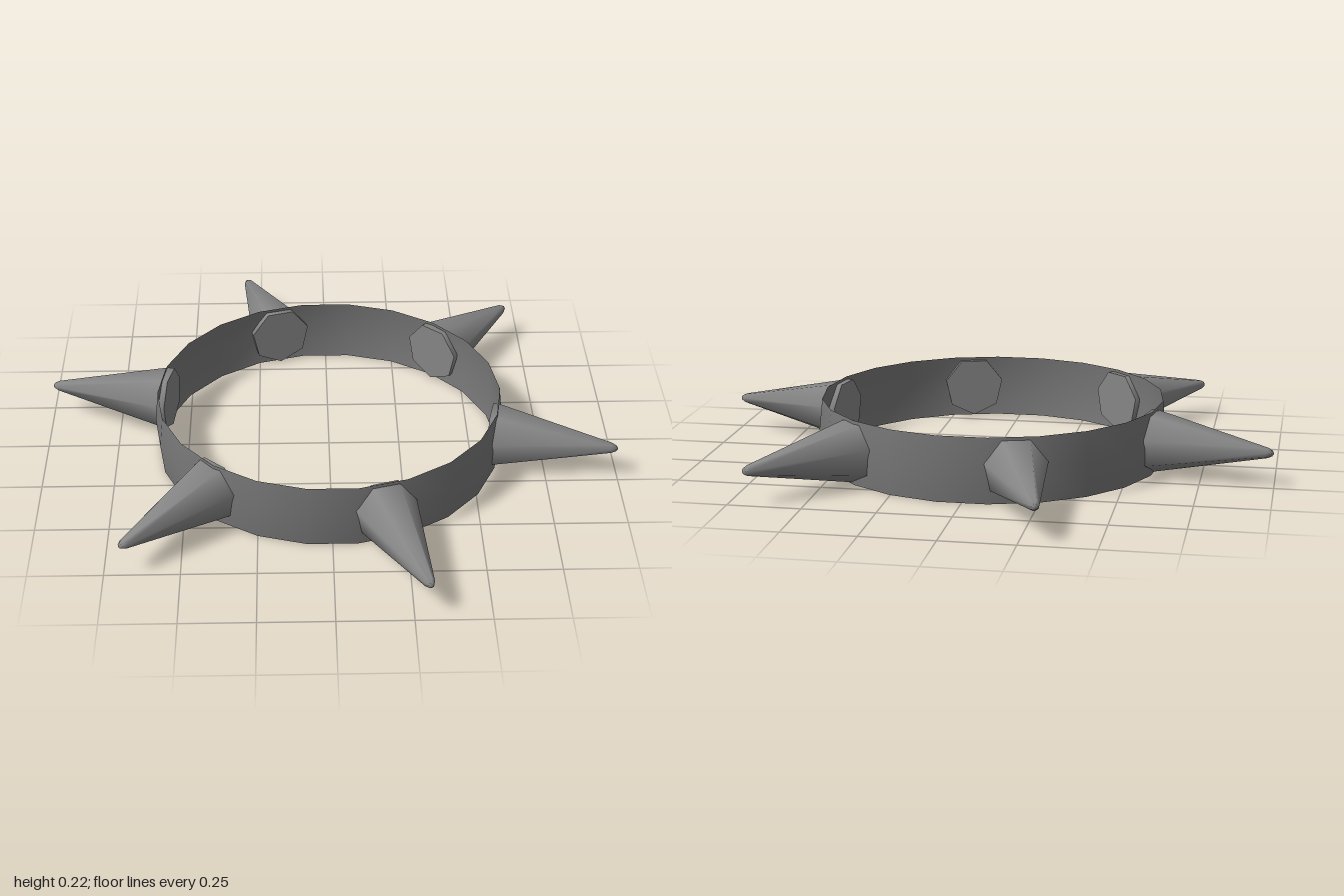
import * as THREE from 'three';
import { toCreasedNormals } from 'three/addons/utils/BufferGeometryUtils.js';

const SPIKES = 6;
const FIRST_ANGLE = THREE.MathUtils.degToRad(12.8);

// Revolve a list of [radius, height] pairs, smooth around and sharp at the rims
function revolve(profile, sides) {
  const points = profile.map(([r, h]) => new THREE.Vector2(r, h));
  return toCreasedNormals(new THREE.LatheGeometry(points, sides), 1.0);
}

export function createModel() {
  const model = new THREE.Group();
  model.name = 'spikedCollar';
  const bandMaterial = new THREE.MeshStandardMaterial({ color: 0x777777, side: THREE.DoubleSide });
  const spikeMaterial = new THREE.MeshStandardMaterial({ color: 0x868686 });

  // Thin, slightly bulging 22-sided band with a corner on the x axis
  const bandGeometry = revolve([[0.602, 0], [0.614, 0.1125], [0.602, 0.225]], 22);
  bandGeometry.rotateY(Math.PI / 2);
  const band = new THREE.Mesh(bandGeometry, bandMaterial);
  band.name = 'band';
  model.add(band);

  // Seven-sided spike: flat inner cap, short collar, long cone, blunt tip
  const spikeGeometry = revolve(
    [[0, 0.576], [0.11, 0.576], [0.109, 0.602], [0.018, 1.0], [0.01, 1.016], [0, 1.022]], 7);
  spikeGeometry.rotateX(Math.PI / 2);

  for (let i = 0; i < SPIKES; i++) {
    const angle = FIRST_ANGLE + (i / SPIKES) * Math.PI * 2;
    const spike = new THREE.Mesh(spikeGeometry, spikeMaterial);
    spike.name = `spike${i + 1}`;
    spike.position.y = 0.115;
    spike.rotation.y = Math.PI / 2 - angle;
    model.add(spike);
  }

  return model;
}
